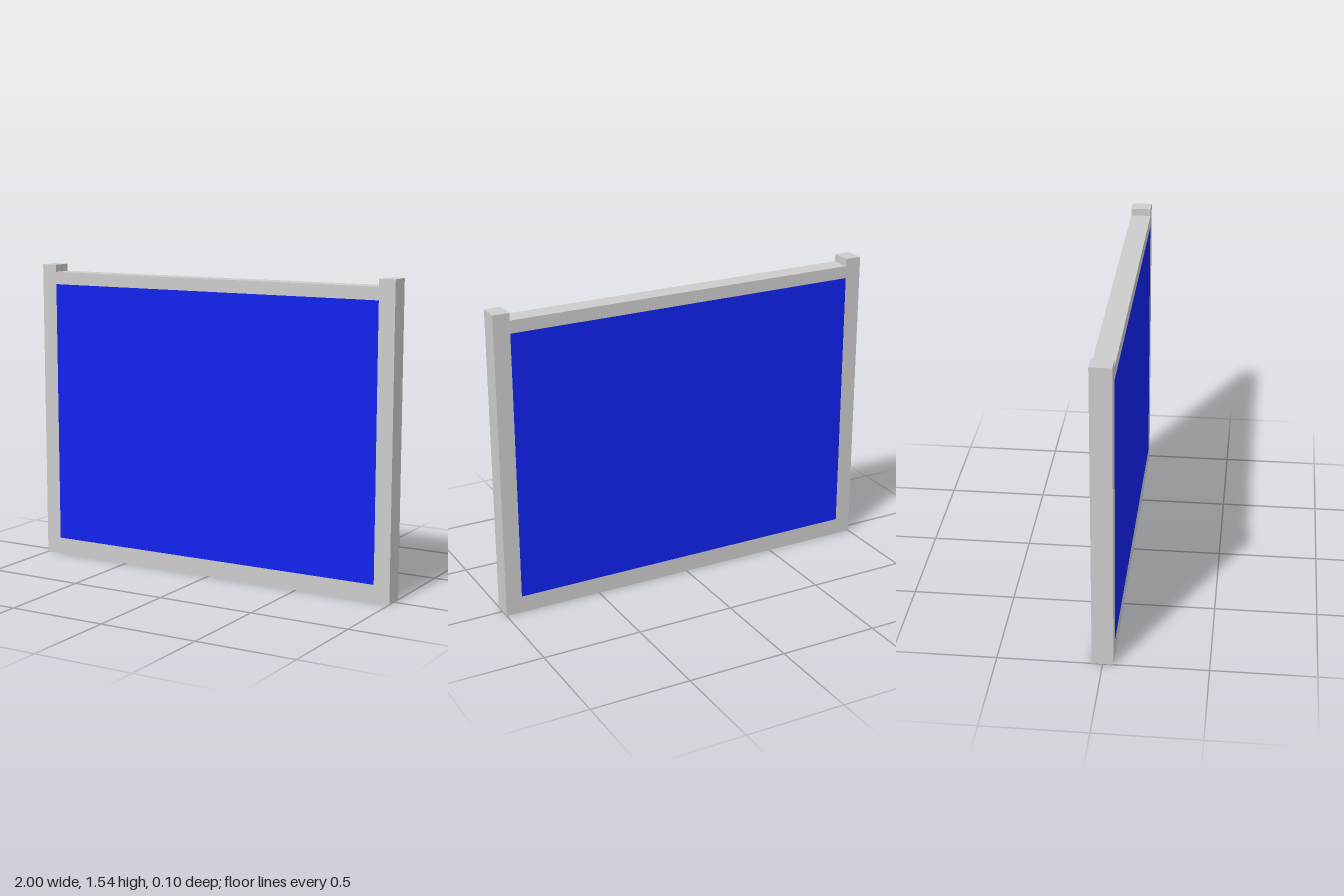
import * as THREE from 'three';

const DEPTH = 0.102;
const POST_INNER = 0.917; // inner face of the side posts
const POST_TOP = 1.54;
const RAIL_TOP = 1.503;
const PANEL_BOTTOM = 0.086;
const PANEL_TOP = 1.44;

export function createModel() {
  const group = new THREE.Group();
  group.name = 'framedPanel';

  // Frame: two posts rising slightly above the top rail, open in the middle
  const outline = new THREE.Shape([
    [-1, 0], [1, 0], [1, POST_TOP], [POST_INNER, POST_TOP], [POST_INNER, RAIL_TOP],
    [-POST_INNER, RAIL_TOP], [-POST_INNER, POST_TOP], [-1, POST_TOP],
  ].map(([x, y]) => new THREE.Vector2(x, y)));
  outline.holes.push(new THREE.Path([
    [-POST_INNER, PANEL_BOTTOM], [-POST_INNER, PANEL_TOP],
    [POST_INNER, PANEL_TOP], [POST_INNER, PANEL_BOTTOM],
  ].map(([x, y]) => new THREE.Vector2(x, y))));
  const frameGeometry = new THREE.ExtrudeGeometry(outline, { depth: DEPTH, bevelEnabled: false });
  frameGeometry.translate(0, 0, -DEPTH / 2);
  const frame = new THREE.Mesh(frameGeometry, new THREE.MeshStandardMaterial({ color: 0xcccccc }));
  frame.name = 'frame';
  group.add(frame);

  // Panel: fills the opening, flush with the frame on both sides
  const panel = new THREE.Mesh(
    new THREE.BoxGeometry(POST_INNER * 2, PANEL_TOP - PANEL_BOTTOM, DEPTH),
    new THREE.MeshStandardMaterial({ color: 0x1122ee }),
  );
  panel.name = 'panel';
  panel.position.y = (PANEL_TOP + PANEL_BOTTOM) / 2;
  group.add(panel);

  return group;
}
